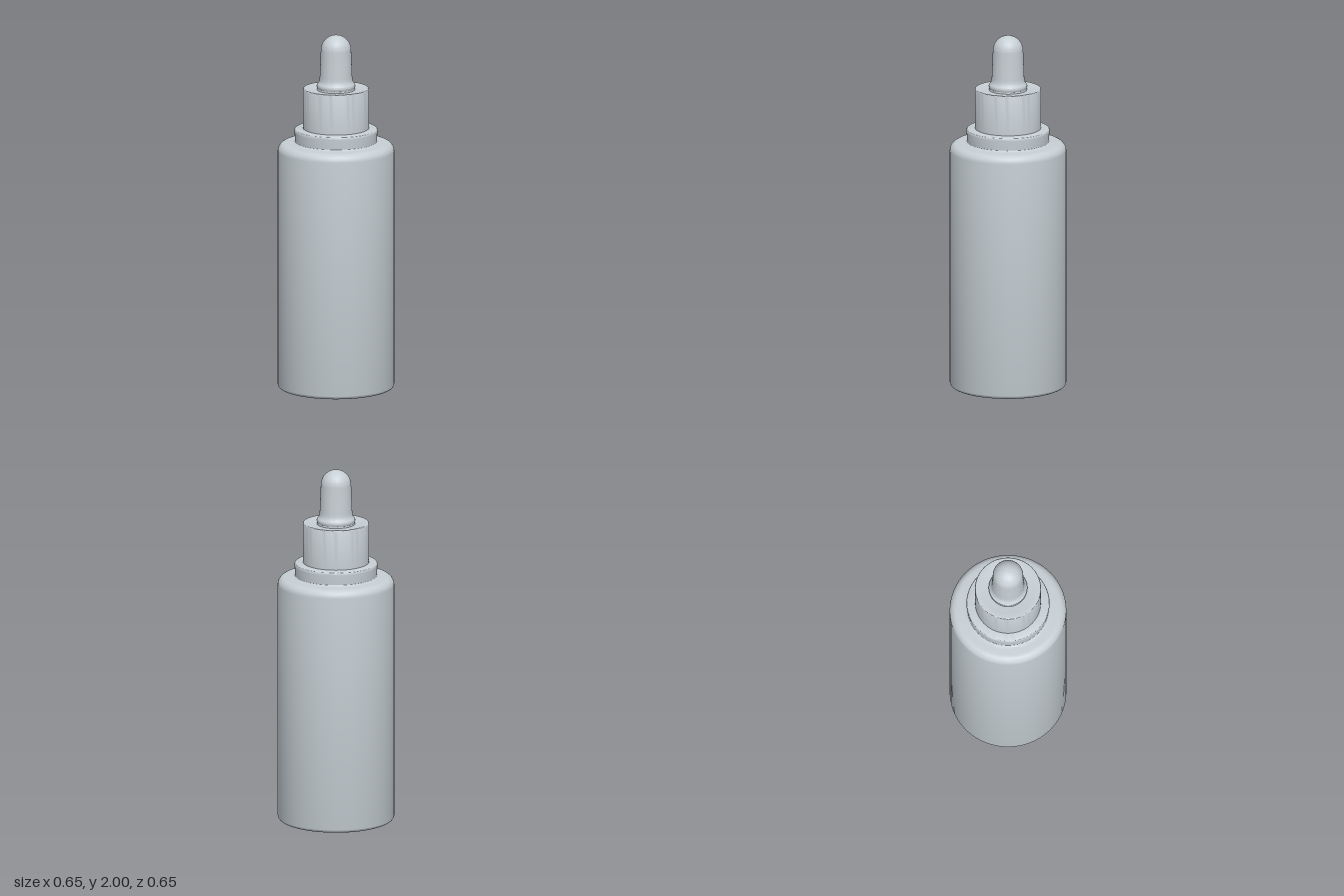
import * as THREE from 'three';
import { toCreasedNormals } from 'three/addons/utils/BufferGeometryUtils.js';

const SEGMENTS = 72;
const paleGrey = new THREE.MeshStandardMaterial({ color: 0xc6cfd4 });
paleGrey.name = 'paleGrey';

// Quarter-round points about (cx, cy), from angle a to angle b in degrees
function arc(cx, cy, rx, ry, a, b, steps = 8) {
  return Array.from({ length: steps + 1 }, (_, i) => {
    const t = THREE.MathUtils.degToRad(a + ((b - a) * i) / steps);
    return [cx + rx * Math.cos(t), cy + ry * Math.sin(t)];
  });
}

// Turned part from a profile of [radius, height] running bottom to top
function turned(name, profile) {
  const points = profile.map(([r, y]) => new THREE.Vector2(Math.max(r, 0), y));
  const geometry = toCreasedNormals(new THREE.LatheGeometry(points, SEGMENTS), 0.7);
  const mesh = new THREE.Mesh(geometry, paleGrey);
  mesh.name = name;
  return mesh;
}

export function createModel() {
  const model = new THREE.Group();
  model.name = 'dropperBottle';

  // Bottle with rounded base, rounded shoulder and a small fillet into the neck
  model.add(turned('bottleBody', [
    [0, 0],
    ...arc(0.293, 0.025, 0.03, 0.025, -90, 0),
    ...arc(0.278, 1.345, 0.045, 0.045, 0, 90),
    [0.25, 1.392],
    ...arc(0.238, 1.405, 0.013, 0.012, -90, -180, 4),
    [0.225, 1.42],
  ]));

  // Collar with a softened upper edge
  model.add(turned('neckCollar', [
    [0.2, 1.395], [0.226, 1.395], [0.23, 1.455],
    ...arc(0.222, 1.462, 0.008, 0.009, 0, 90, 4),
    [0.17, 1.474],
  ]));

  // Screw cap with a slightly dished top
  model.add(turned('screwCap', [
    [0.16, 1.47], [0.182, 1.47], [0.183, 1.692],
    ...arc(0.177, 1.694, 0.006, 0.006, 0, 90, 4),
    [0.15, 1.696], [0.09, 1.69],
  ]));

  // Rubber bulb with a rolled foot, tapering stem and domed tip
  model.add(turned('rubberBulb', [
    [0.09, 1.685], [0.105, 1.69],
    ...arc(0.096, 1.713, 0.011, 0.016, -50, 60, 6),
    [0.095, 1.735], [0.091, 1.748], [0.09, 1.765],
    ...arc(0, 1.915, 0.084, 0.085, 0, 90, 16),
  ]));

  return model;
}
